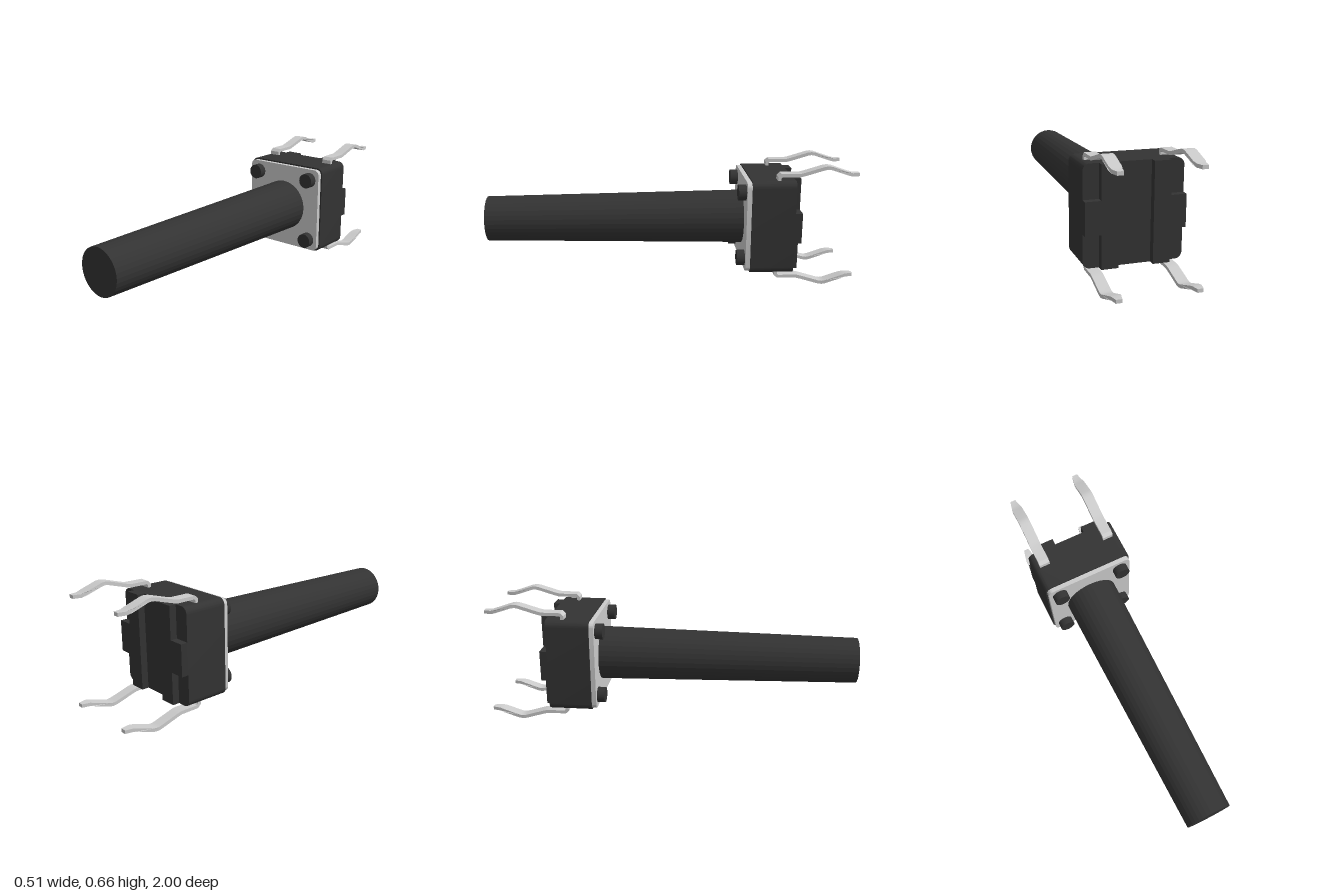
import * as THREE from 'three';
import { toCreasedNormals } from 'three/addons/utils/BufferGeometryUtils.js';

const dark = new THREE.MeshStandardMaterial({ color: 0x333333 });
const darkFlat = new THREE.MeshStandardMaterial({ color: 0x333333, flatShading: true });
const metal = new THREE.MeshStandardMaterial({ color: 0xcccccc });

function add(parent, name, geometry, material, x = 0, y = 0, z = 0) {
  const mesh = new THREE.Mesh(geometry, material);
  mesh.name = name;
  mesh.position.set(x, y, z);
  parent.add(mesh);
  return mesh;
}

// Rounded square slab between two z values
function slab(half, radius, zBack, zFront) {
  const s = new THREE.Shape();
  const c = half - radius;
  s.absarc(c, c, radius, 0, Math.PI / 2);
  s.absarc(-c, c, radius, Math.PI / 2, Math.PI);
  s.absarc(-c, -c, radius, Math.PI, Math.PI * 1.5);
  s.absarc(c, -c, radius, Math.PI * 1.5, Math.PI * 2);
  const g = new THREE.ExtrudeGeometry(s, { depth: zFront - zBack, bevelEnabled: false, curveSegments: 6 });
  g.translate(0, 0, zBack);
  return toCreasedNormals(g, 0.6);
}

// Cylinder or cone along z
function rod(rBack, rFront, zBack, zFront, sides) {
  const g = new THREE.CylinderGeometry(rFront, rBack, zFront - zBack, sides);
  g.rotateX(Math.PI / 2);
  g.translate(0, 0, (zBack + zFront) / 2);
  return g;
}

// Bent strip: centre line (distance behind origin, height), thickened, then tapered at the tip
function legGeometry(width, thickness) {
  const path = [
    [0.575, 0.24], [0.575, 0.27], [0.587, 0.281], [0.685, 0.281], [0.71, 0.287], [0.81, 0.317],
    [0.83, 0.32], [0.85, 0.317], [0.935, 0.288], [0.96, 0.281], [1, 0.281],
  ].map(([u, v]) => new THREE.Vector2(u, v));
  const upper = [], lower = [];
  path.forEach((p, i) => {
    const a = p.clone().sub(path[Math.max(i - 1, 0)]).normalize();
    const b = path[Math.min(i + 1, path.length - 1)].clone().sub(p).normalize();
    const t = a.add(b).normalize();
    const n = new THREE.Vector2(-t.y, t.x).multiplyScalar(thickness / 2);
    upper.push(p.clone().add(n));
    lower.unshift(p.clone().sub(n));
  });
  const g = new THREE.ExtrudeGeometry(new THREE.Shape([...lower, ...upper]), { depth: width, bevelEnabled: false });
  g.translate(0, 0, -width / 2);
  g.rotateY(Math.PI / 2);
  const pos = g.attributes.position;
  for (let i = 0; i < pos.count; i++) {
    const t = THREE.MathUtils.clamp((-pos.getZ(i) - 0.935) / 0.065, 0, 1);
    pos.setX(i, pos.getX(i) * (1 - 0.5 * t));
  }
  return toCreasedNormals(g, 0.5);
}

export function createModel() {
  const model = new THREE.Group();
  model.name = 'pushButtonSwitch';
  const core = new THREE.Group();
  core.name = 'switchCore';
  core.position.y = 0.33;
  model.add(core);

  // Housing, cover plate and plunger
  add(core, 'housing', slab(0.253, 0.035, -0.663, -0.43), dark);
  add(core, 'coverPlate', slab(0.245, 0.03, -0.43, -0.405), metal);
  add(core, 'plunger', rod(0.148, 0.123, -0.41, 1, 32), darkFlat);

  // Corner rivets
  for (const x of [-0.183, 0.183])
    for (const y of [-0.183, 0.183])
      add(core, 'rivet', rod(0.042, 0.042, -0.42, -0.363, 32), dark, x, y);

  // Raised ribs and side blocks on the back, leaving a central channel
  for (const s of [-1, 1]) {
    add(core, 'backRib', new THREE.BoxGeometry(0.086, 0.506, 0.05), dark, s * 0.13, 0, -0.675);
    add(core, 'sideBlock', new THREE.BoxGeometry(0.09, 0.165, 0.05), dark, s * 0.208, 0, -0.675);
  }

  // Two legs above, two turned over below
  const leg = legGeometry(0.059, 0.018);
  for (const turn of [0, Math.PI]) {
    const pair = new THREE.Group();
    pair.name = turn ? 'lowerLegs' : 'upperLegs';
    pair.rotation.z = turn;
    core.add(pair);
    for (const s of [-1, 1]) add(pair, 'leg', leg, metal, s * 0.192);
  }
  return model;
}
